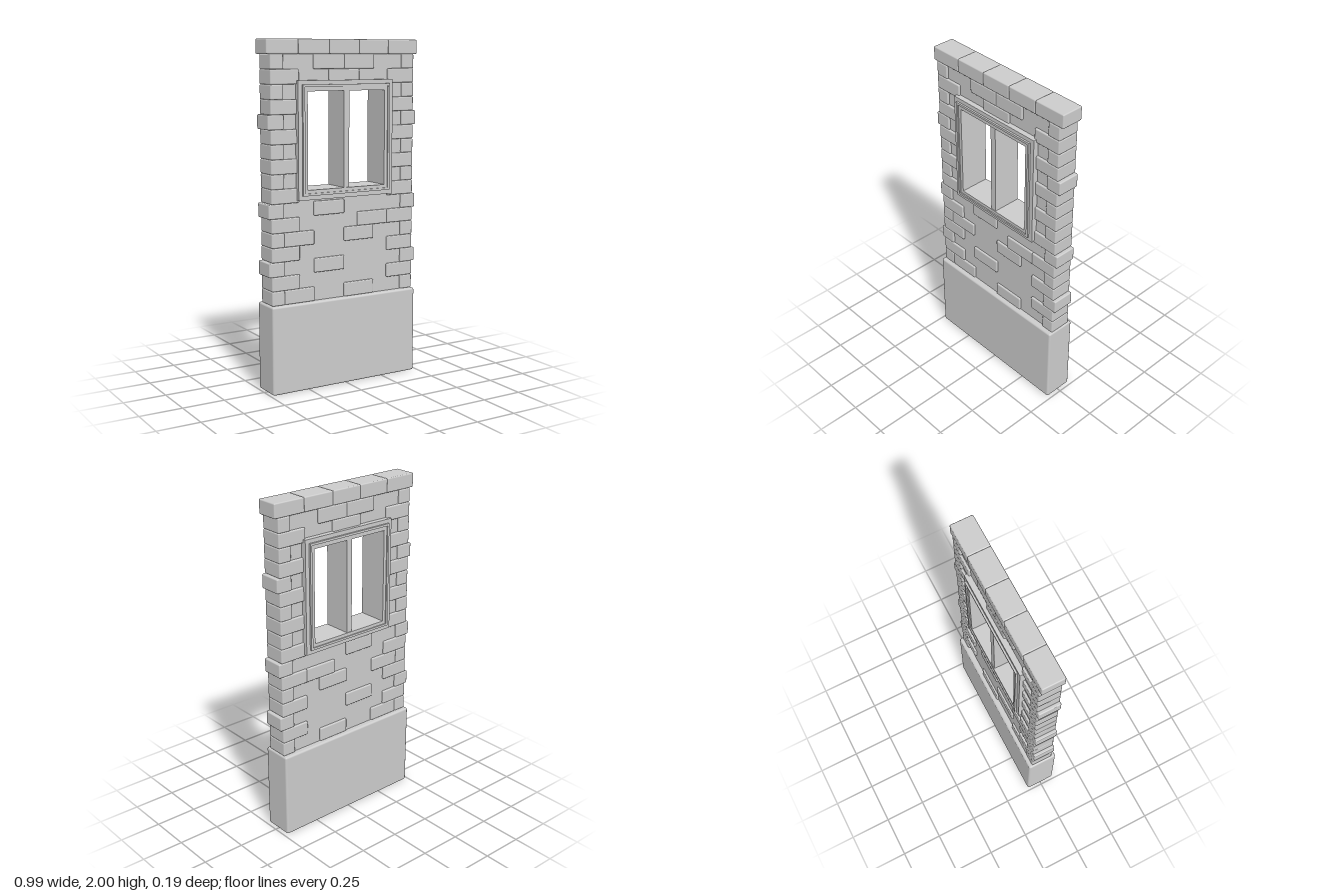
import * as THREE from 'three';
import { RoundedBoxGeometry } from 'three/addons/geometries/RoundedBoxGeometry.js';

const material = new THREE.MeshStandardMaterial({ color: 0xcccccc });
const ROW = 0.0825; // height of one brick course

function block(name, x0, x1, y0, y1, depth, radius) {
  const geo = new RoundedBoxGeometry(x1 - x0, y1 - y0, depth, 2, radius);
  const mesh = new THREE.Mesh(geo, material);
  mesh.name = name;
  mesh.position.set((x0 + x1) / 2, (y0 + y1) / 2, 0);
  return mesh;
}

function rect(target, x0, x1, y0, y1) {
  target.moveTo(x0, y0);
  target.lineTo(x1, y0);
  target.lineTo(x1, y1);
  target.lineTo(x0, y1);
  target.closePath();
  return target;
}

// Rectangular slab with a rectangular opening, centred on z = 0
function ring(name, outer, inner, depth) {
  const shape = rect(new THREE.Shape(), ...outer);
  shape.holes.push(rect(new THREE.Path(), ...inner));
  const geo = new THREE.ExtrudeGeometry(shape, { depth, bevelEnabled: false });
  geo.translate(0, 0, -depth / 2);
  const mesh = new THREE.Mesh(geo, material);
  mesh.name = name;
  return mesh;
}

export function createModel() {
  const model = new THREE.Group();
  model.name = 'wallWithWindow';

  // Plinth and recessed plaster panel
  model.add(block('plinth', -0.485, 0.48, 0, 0.515, 0.18, 0.012));
  model.add(ring('plasterPanel', [-0.46, 0.46, 0.5, 1.93], [-0.28, 0.28, 1.14, 1.74], 0.108));

  // Coping course along the top
  const coping = new THREE.Group();
  coping.name = 'copingStones';
  const joints = [-0.497, -0.297, -0.097, 0.1, 0.297, 0.497];
  for (let i = 0; i < 5; i++) {
    coping.add(block('copingStone', joints[i], joints[i + 1], 2 - ROW, 2, 0.134, 0.007));
  }
  model.add(coping);

  // Corner bricks: long and short alternate, some short ones jut out
  const bricks = new THREE.Group();
  bricks.name = 'bricks';
  const brick = (row, x0, x1, depth = 0.134) =>
    bricks.add(block('brick', x0, x1, 2 - ROW * (row + 1), 2 - ROW * row, depth, 0.007));
  const jutting = [5, 11, 15];
  for (let row = 1; row <= 17; row++) {
    const end = jutting.includes(row) ? 0.492 : 0.474;
    const inner = row % 2 ? 0.393 : 0.295;
    brick(row, -end, -inner);
    brick(row, inner, end);
  }

  // Scattered bricks showing through the plaster: [row, left, right]
  const scattered = [
    [1, -0.2, 0], [1, 0, 0.2], [2, -0.1, 0.1],
    [11, -0.2, 0], [12, 0.09, 0.295],
    [13, -0.393, -0.2], [13, 0, 0.2],
    [15, -0.2, 0],
    [17, -0.393, -0.2], [17, 0, 0.2],
  ];
  for (const [row, x0, x1] of scattered) brick(row, x0, x1, 0.132);
  model.add(bricks);

  // Stepped window frame, running through the wall
  const frame = new THREE.Group();
  frame.name = 'window';
  frame.add(ring('outerFrame', [-0.313, 0.313, 1.105, 1.773], [-0.275, 0.275, 1.145, 1.735], 0.172));
  frame.add(ring('raisedTrim', [-0.288, 0.288, 1.13, 1.75], [-0.275, 0.275, 1.143, 1.737], 0.194));
  frame.add(ring('innerFrame', [-0.28, 0.28, 1.135, 1.745], [-0.255, 0.255, 1.162, 1.713], 0.18));
  const mullion = new THREE.Mesh(new THREE.BoxGeometry(0.036, 0.57, 0.17), material);
  mullion.name = 'mullion';
  mullion.position.set(0, 1.4375, 0);
  frame.add(mullion);
  model.add(frame);

  return model;
}
